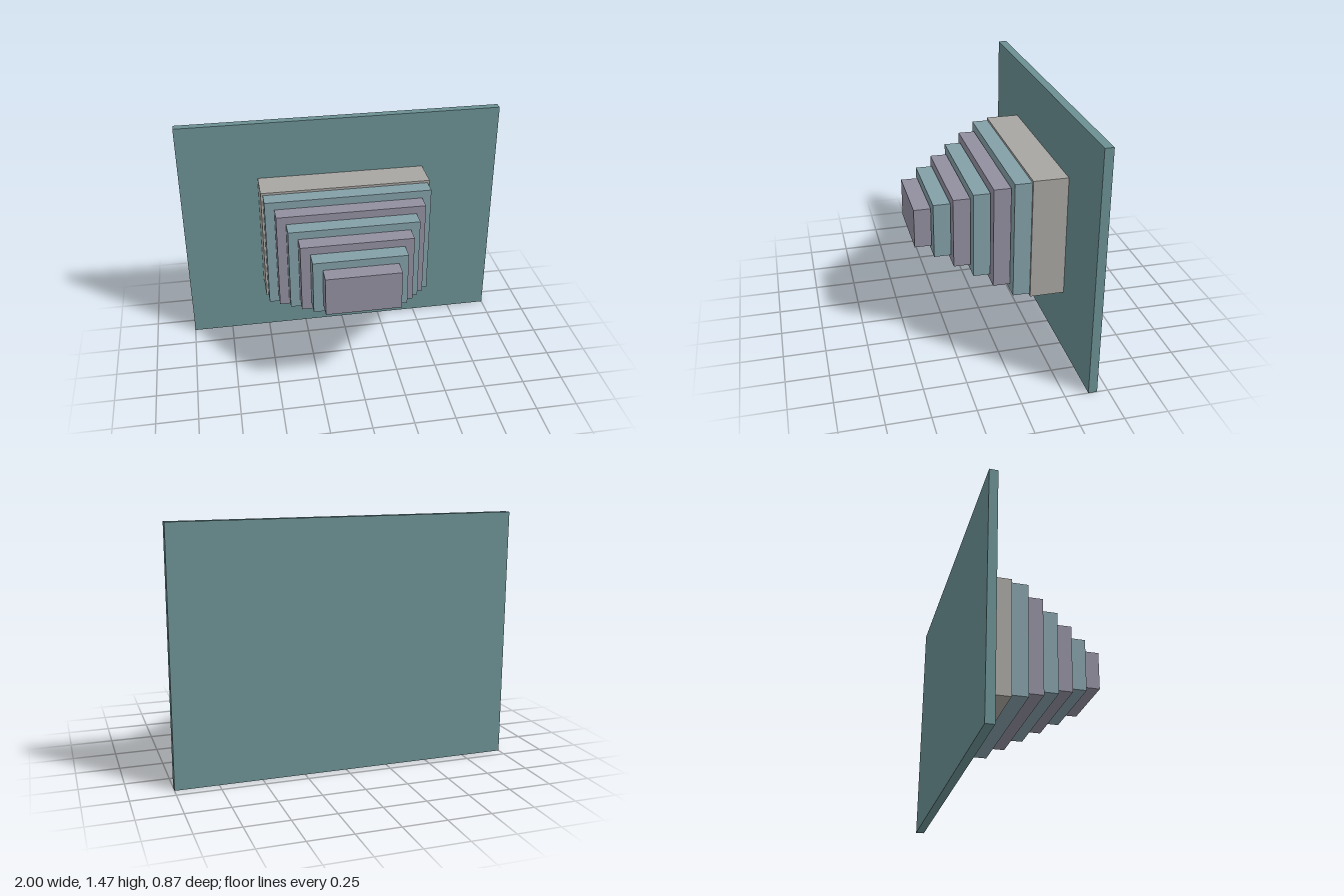
import * as THREE from 'three';

export function createModel() {
  const model = new THREE.Group();
  const material = (color) => new THREE.MeshStandardMaterial({ color });
  const teal = material(0x6b9093);
  const stone = material(0xa8a6a2);
  const blue = material(0x84a0a8);
  const mauve = material(0x9290a0);

  // Adds a box centred on x = 0
  function addBox(name, width, height, depth, y, z, mat) {
    const mesh = new THREE.Mesh(new THREE.BoxGeometry(width, height, depth), mat);
    mesh.name = name;
    mesh.position.set(0, y, z);
    model.add(mesh);
  }

  // Wall panel and the thick block standing out from it
  addBox('backPanel', 2, 1.466, 0.051, 0.733, -0.4115, teal);
  addBox('baseBlock', 1.04, 0.733, 0.204, 0.736, -0.284, stone);

  // Six tiers shrinking towards the front, with narrow gaps between them
  for (let i = 0; i < 6; i++) {
    addBox(`tier${i + 1}`, 1.014 - 0.114 * i, 0.704 - 0.093 * i, 0.1,
      0.736, -0.132 + 0.1038 * i, i % 2 ? mauve : blue);
  }

  return model;
}
